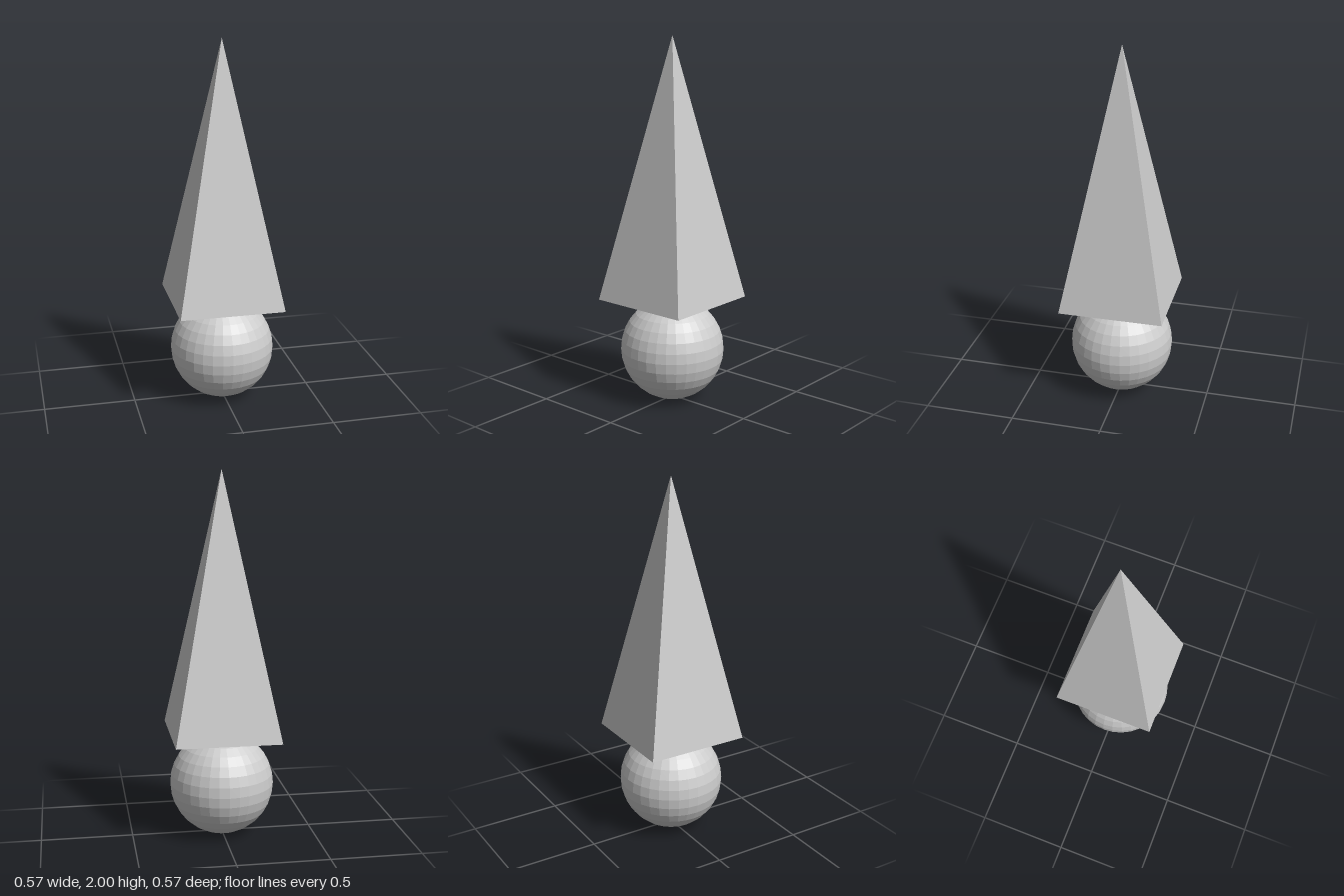
import * as THREE from 'three';

export function createModel() {
  const model = new THREE.Group();
  const material = new THREE.MeshStandardMaterial({ color: 0xcccccc, flatShading: true });
  const radius = 2 / 7; // the ball is 2 radii tall, the pyramid 5

  // Faceted ball standing on the ground
  const ball = new THREE.Mesh(new THREE.SphereGeometry(radius, 32, 16), material);
  ball.name = 'ball';
  ball.position.y = radius;

  // Square pyramid resting on the ball, as wide as the ball
  const height = 5 * radius;
  const pyramid = new THREE.Mesh(
    new THREE.ConeGeometry(radius * Math.SQRT2, height, 4, 1, false, Math.PI / 4),
    material
  );
  pyramid.name = 'pyramid';
  pyramid.position.y = 2 * radius + height / 2;

  model.add(ball, pyramid);
  return model;
}
